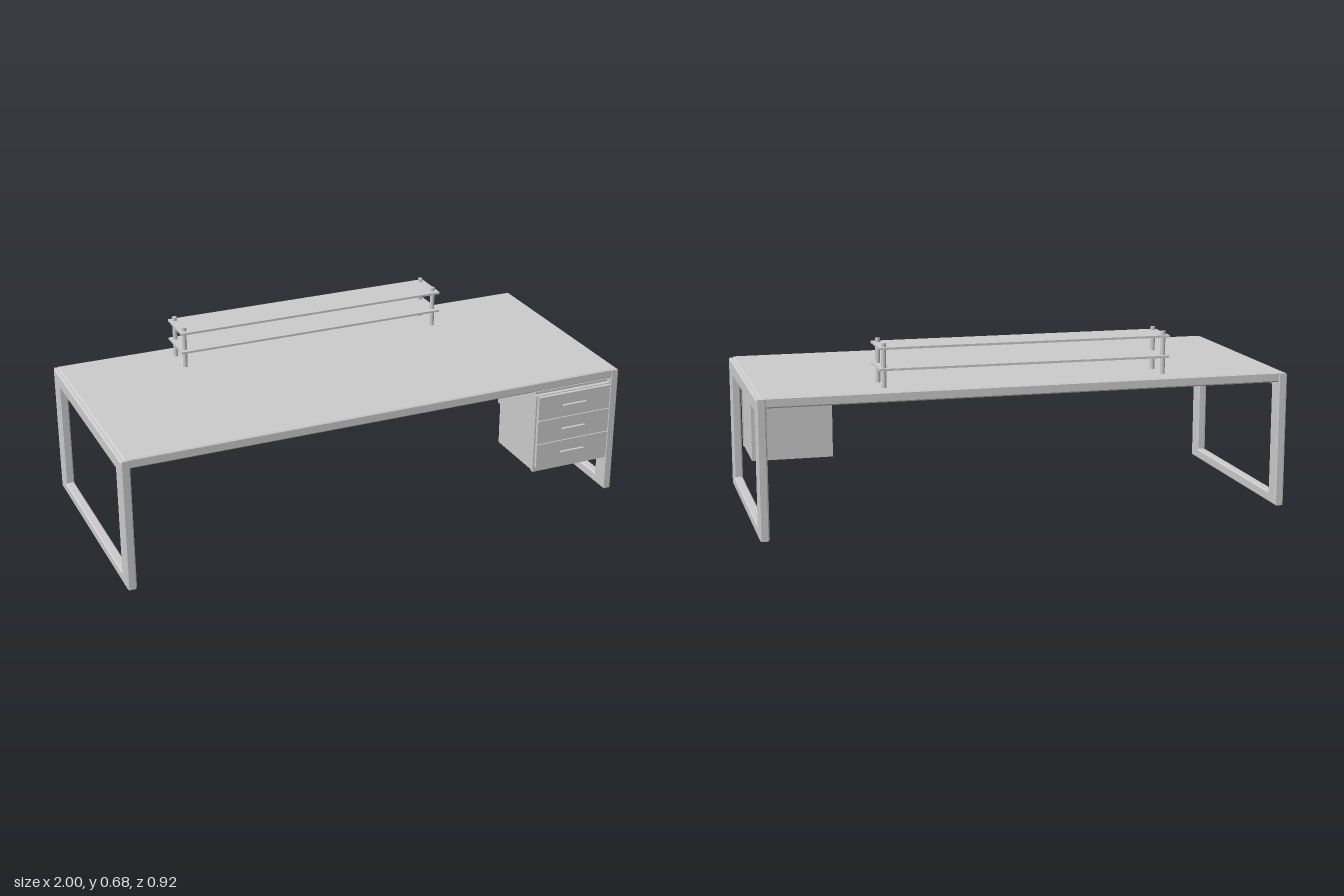
import * as THREE from 'three';

const material = new THREE.MeshStandardMaterial({ color: 0xcccccc, flatShading: true });

export function createModel() {
  const desk = new THREE.Group();
  desk.name = 'desk';

  const add = (name, geometry, parent = desk) => {
    const mesh = new THREE.Mesh(geometry, material);
    mesh.name = name;
    parent.add(mesh);
    return mesh;
  };
  // Box given by its lower and upper limits on each axis
  const box = (name, [x0, x1], [y0, y1], [z0, z1], parent) => {
    const mesh = add(name, new THREE.BoxGeometry(x1 - x0, y1 - y0, z1 - z0), parent);
    mesh.position.set((x0 + x1) / 2, (y0 + y1) / 2, (z0 + z1) / 2);
    return mesh;
  };
  const rect = (path, x0, x1, y0, y1) => {
    path.moveTo(x0, y0).lineTo(x1, y0).lineTo(x1, y1).lineTo(x0, y1).closePath();
    return path;
  };
  // Extrusion with chamfered edges, running from depth 0 to the full depth
  const chamfered = (shape, depth, b) => new THREE.ExtrudeGeometry(shape, {
    depth: depth - 2 * b, bevelThickness: b, bevelSize: b, bevelOffset: -b, bevelSegments: 1,
  }).translate(0, 0, b);

  // Table top with a chamfered rim
  const top = chamfered(rect(new THREE.Shape(), -0.985, 0.985, -0.42, 0.457), 0.038, 0.005);
  add('tableTop', top.rotateX(-Math.PI / 2).translate(0, 0.48, 0));

  // Two rectangular loop legs, drawn in the z-y plane
  const loop = rect(new THREE.Shape(), -0.46, 0.422, 0, 0.513);
  loop.holes.push(rect(new THREE.Path(), -0.395, 0.355, 0.04, 0.46));
  const leg = chamfered(loop, 0.035, 0.005);
  for (const [name, x] of [['leftLegFrame', 1], ['rightLegFrame', -0.965]]) {
    const mesh = add(name, leg);
    mesh.rotation.y = -Math.PI / 2;
    mesh.scale.z = 1;
    mesh.position.x = x;
    // local x becomes world z, local z becomes world -x
  }

  // Hanging drawer cabinet
  const cabinet = new THREE.Group();
  cabinet.name = 'drawerCabinet';
  desk.add(cabinet);
  box('cabinetBody', [0.635, 0.95], [0.15, 0.481], [0.152, 0.421], cabinet);
  box('cabinetFrontFrame', [0.63, 0.953], [0.15, 0.471], [0.42, 0.437], cabinet);
  for (let i = 0; i < 3; i++) {
    const y = 0.174 + i * 0.099;
    box('drawerFront', [0.636, 0.947], [y, y + 0.096], [0.436, 0.451], cabinet);
    box('drawerHandle', [0.74, 0.84], [y + 0.045, y + 0.052], [0.45, 0.462], cabinet);
  }

  // Two-tier shelf carried by four round posts
  const shelf = new THREE.Group();
  shelf.name = 'shelfUnit';
  desk.add(shelf);
  for (const y of [0.586, 0.663]) {
    box('shelfBoard', [-0.55, 0.55], [y - 0.004, y + 0.004], [-0.395, -0.233], shelf);
  }
  const postMaterial = new THREE.MeshStandardMaterial({ color: 0xcccccc });
  for (const x of [-0.53, 0.53]) {
    for (const z of [-0.26, -0.374]) {
      const post = add('shelfPost', new THREE.CylinderGeometry(0.009, 0.009, 0.166, 24), shelf);
      post.material = postMaterial;
      post.position.set(x, 0.598, z);
    }
  }
  return desk;
}
